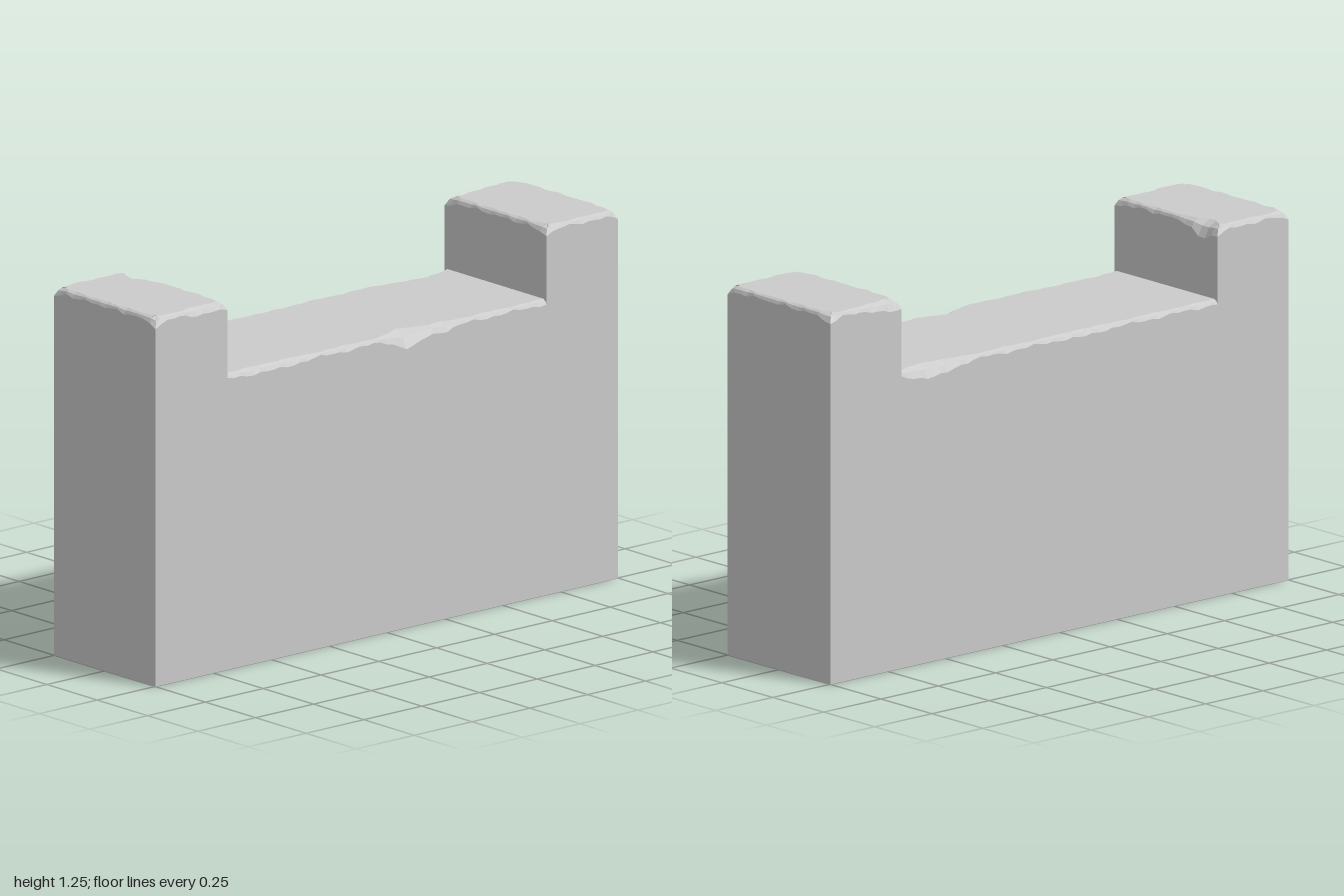
import * as THREE from 'three';

const material = new THREE.MeshStandardMaterial({ color: 0xcccccc, flatShading: true, side: THREE.DoubleSide });
const DEPTH = 0.253;   // half thickness of the wall
const FLOOR = 1.0;     // height of the middle span
const TOP = 1.247;     // height of the end posts

// Repeatable uneven wear between 0 and 1 along an edge
const wear = (s) => 0.5 + 0.25 * Math.sin(s * 23.1 + 1) + 0.25 * Math.sin(s * 57.7 + 2.3);

// Smooth bump used for a larger chip
const bump = (d, width) => Math.exp(-((d / width) ** 2));

// Open-bottomed block with worn upper edges.
// sides: { front, right, back, left } gives the wall's lower y, or null for no wall.
// chips: [x, z, width, size] marks where extra stone has broken off.
function wornBlock(name, x0, x1, top, sides, chips, samples) {
  const cx = (x0 + x1) / 2;
  const path = [
    ['front', x0, DEPTH, x1, DEPTH],
    ['right', x1, DEPTH, x1, -DEPTH],
    ['back', x1, -DEPTH, x0, -DEPTH],
    ['left', x0, -DEPTH, x0, DEPTH],
  ];
  const positions = [];
  const tri = (a, b, c) => positions.push(...a, ...b, ...c);

  // Cross-section of the wall and its worn edge at one perimeter point
  const column = (x, z, base, open) => {
    let cut = open ? 0 : 0.007 + 0.014 * wear(x * 1.3 + z * 2.1);
    if (!open) for (const [px, pz, width, size] of chips) cut += size * bump(Math.hypot(x - px, z - pz), width);
    const inset = (k) => [
      THREE.MathUtils.clamp(x, x0 + (sides.left === null ? 0 : k), x1 - (sides.right === null ? 0 : k)),
      THREE.MathUtils.clamp(z, -DEPTH + k, DEPTH - k),
    ];
    const [mx, mz] = inset(cut * 0.35);
    const [tx, tz] = inset(cut);
    return [
      [x, base ?? top, z],
      [x, top - cut, z],
      [mx, top - cut * 0.35, mz],
      [tx, top, tz],
    ];
  };

  for (const [side, ax, az, bx, bz] of path) {
    const base = sides[side];
    const open = base === null;
    const n = open ? 1 : samples[side];
    const at = (i) => {
      const t = i / n;
      const x = ax + (bx - ax) * t, z = az + (bz - az) * t;
      return column(x, z, base, false);
    };
    for (let i = 0; i < n; i++) {
      const a = at(i), b = at(i + 1);
      if (!open) {
        for (let r = 0; r < 3; r++) {
          tri(a[r], b[r], b[r + 1]);
          tri(a[r], b[r + 1], a[r + 1]);
        }
      }
      tri(a[3], b[3], [cx, top, 0]);
    }
  }
  const geometry = new THREE.BufferGeometry();
  geometry.setAttribute('position', new THREE.Float32BufferAttribute(positions, 3));
  geometry.computeVertexNormals();
  const mesh = new THREE.Mesh(geometry, material);
  mesh.name = name;
  return mesh;
}

export function createModel() {
  const group = new THREE.Group();
  group.name = 'battlementWall';
  const inner = 0.69;
  const hidden = 0.95; // inner post walls reach just below the floor

  // Low middle span, with a broken front edge and a worn back corner
  group.add(wornBlock('middleSpan', -inner, inner, FLOOR,
    { front: 0, right: null, back: 0, left: null },
    [
      [0.1, DEPTH, 0.07, 0.042],
      [0.25, DEPTH, 0.06, 0.012],
      [-0.5, DEPTH, 0.12, 0.008],
      [0.55, -DEPTH, 0.1, 0.03],
      [-0.1, -DEPTH, 0.06, 0.008],
    ],
    { front: 48, back: 48 }));

  // Raised end posts
  const samples = { front: 12, back: 12, left: 16, right: 16 };
  const corners = (x0, x1, size) => [x0, x1].flatMap((x) => [[x, DEPTH, 0.04, size], [x, -DEPTH, 0.04, size]]);
  group.add(wornBlock('rightPost', -1, -inner, TOP,
    { front: 0, right: hidden, back: 0, left: 0 },
    [...corners(-1, -inner, 0.016), [-inner, -0.17, 0.05, 0.04], [-0.8, DEPTH, 0.08, 0.008]],
    samples));
  group.add(wornBlock('leftPost', inner, 1, TOP,
    { front: 0, right: 0, back: 0, left: hidden },
    [...corners(inner, 1, 0.016), [0.75, -DEPTH, 0.06, 0.02]],
    samples));
  return group;
}
